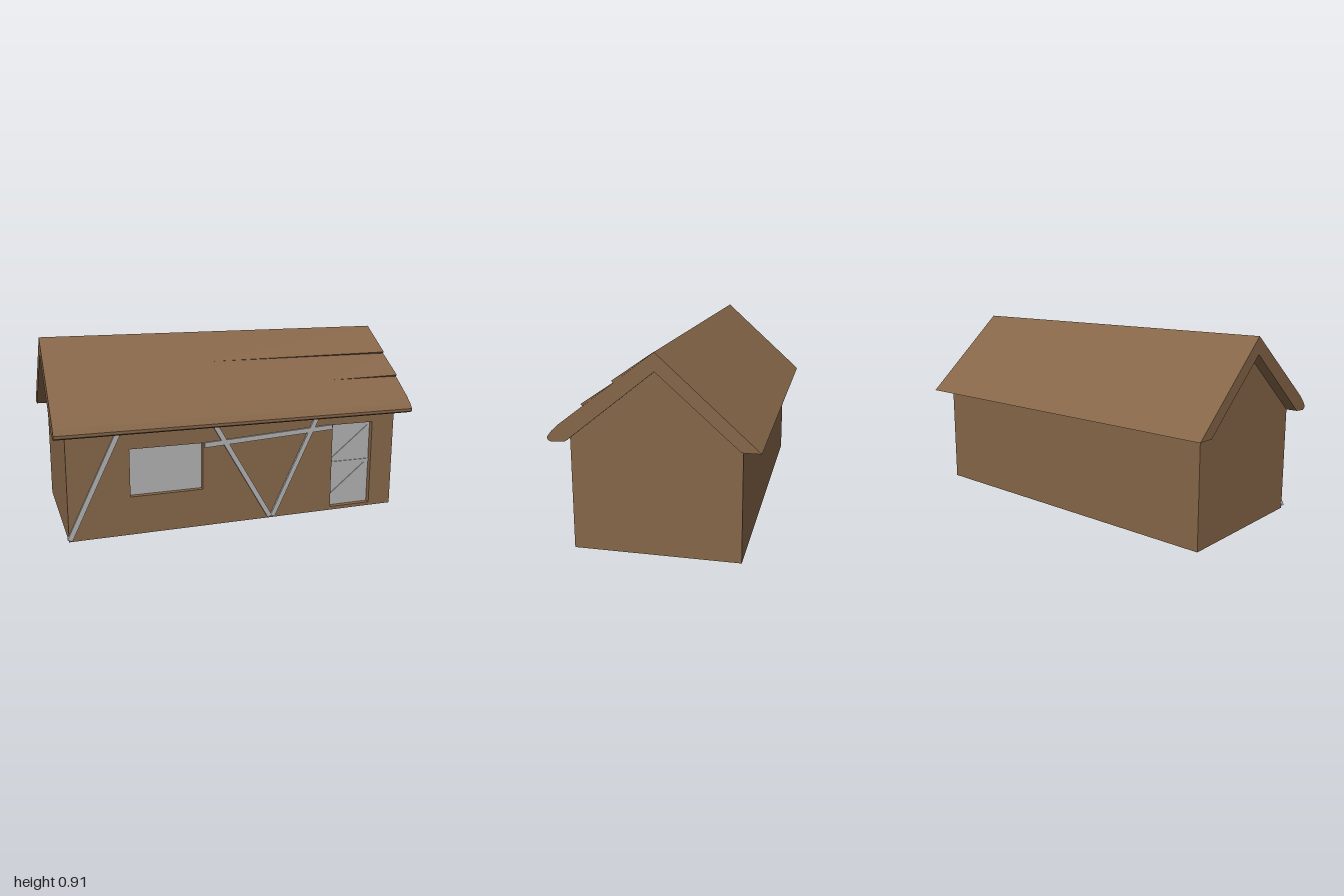
import * as THREE from 'three';

const HL = 0.845, HD = 0.375, WALL_H = 0.51; // wall half length, half depth, height
const RIDGE = -0.018;                        // ridge line offset in z

export function createModel() {
  const brown = new THREE.MeshStandardMaterial({ color: 0x866649, side: THREE.DoubleSide });
  brown.name = 'brown timber';
  const grey = new THREE.MeshStandardMaterial({ color: 0xb0b0b0, side: THREE.DoubleSide });
  grey.name = 'pale grey';

  const house = new THREE.Group();
  house.name = 'house';
  const add = (name, geometry, material) => {
    const mesh = new THREE.Mesh(geometry, material);
    mesh.name = name;
    house.add(mesh);
    return mesh;
  };
  const polygon = pts => new THREE.Shape(pts.map(p => new THREE.Vector2(p[0], p[1])));
  const rect = (x0, y0, x1, y1) => [[x0, y0], [x1, y0], [x1, y1], [x0, y1]];

  // openings in the front wall: x0, y0, x1, y1
  const openings = {
    window: [-0.56, 0.18, -0.19, 0.425],
    door: [0.486, 0.01, 0.727, 0.46],
  };

  // front wall with holes, plain back wall
  const front = polygon(rect(-HL, 0, HL, WALL_H));
  for (const o of Object.values(openings)) front.holes.push(polygon(rect(...o)));
  add('frontWall', new THREE.ShapeGeometry(front), brown).position.z = HD;
  const back = add('backWall', new THREE.PlaneGeometry(2 * HL, WALL_H), brown);
  back.position.set(0, WALL_H / 2, -HD);
  back.rotation.y = Math.PI;

  // gable walls
  for (const side of [1, -1]) {
    const s = polygon([[-HD, 0], [HD, 0], [HD, WALL_H], [-RIDGE * side, 0.826], [-HD, WALL_H]]);
    const gable = add(side > 0 ? 'leftGable' : 'rightGable', new THREE.ShapeGeometry(s), brown);
    gable.rotation.y = side * Math.PI / 2;
    gable.position.x = side * HL;
  }

  // recessed frames with panes set at the back
  const recess = 0.03, rim = 0.007;
  for (const [name, [x0, y0, x1, y1]] of Object.entries(openings)) {
    const ring = polygon(rect(x0, y0, x1, y1));
    ring.holes.push(polygon(rect(x0 + rim, y0 + rim, x1 - rim, y1 - rim)));
    add(name + 'Frame', new THREE.ExtrudeGeometry(ring, { depth: recess, bevelEnabled: false }), brown)
      .position.z = HD - recess;
    const pane = new THREE.BoxGeometry(x1 - x0 - 2 * rim, y1 - y0 - 2 * rim, 0.004);
    add(name + 'Panel', pane, grey).position.set((x0 + x1) / 2, (y0 + y1) / 2, HD - recess + 0.002);
  }

  // straight bar between two points on the facade
  const bar = (name, [xa, ya], [xb, yb], width, depth, z) => {
    const len = Math.hypot(xb - xa, yb - ya);
    const b = add(name, new THREE.BoxGeometry(len, width, depth), grey);
    b.position.set((xa + xb) / 2, (ya + yb) / 2, z);
    b.rotation.z = Math.atan2(yb - ya, xb - xa);
  };

  // facade braces
  bar('cornerBrace', [-0.842, 0.01], [-0.605, 0.5], 0.024, 0.02, HD);
  bar('middleBraceRight', [-0.139, 0.505], [0.152, 0.01], 0.024, 0.02, HD);
  bar('middleBraceLeft', [0.166, 0.01], [0.402, 0.505], 0.024, 0.02, HD);
  bar('crossRail', [-0.19, 0.408], [0.486, 0.445], 0.024, 0.02, HD);

  // door bracing
  const dz = HD - recess + 0.006;
  bar('doorRail', [0.495, 0.242], [0.718, 0.242], 0.02, 0.006, dz);
  bar('doorBraceUpper', [0.505, 0.262], [0.71, 0.425], 0.02, 0.005, dz);
  bar('doorBraceLower', [0.505, 0.07], [0.71, 0.233], 0.02, 0.005, dz);

  // roof: one profile (z, y) run along the length, rounded at the front eave
  const profile = [
    [-0.457, 0.51], [RIDGE, 0.905], [0.40, 0.585], [0.435, 0.553], [0.456, 0.527],
    [0.455, 0.513], [0.44, 0.505], [HD, WALL_H], [RIDGE, 0.825], [-HD, WALL_H],
  ];
  const roof = new THREE.ExtrudeGeometry(polygon(profile.map(([z, y]) => [-z, y])),
    { depth: 1.8, bevelEnabled: false });
  roof.translate(0, 0, -0.9).rotateY(Math.PI / 2);
  add('roof', roof, brown);

  // slightly lifted roof courses, tapering out along the front slope
  const slopeY = z => 0.905 - (z - RIDGE) * 0.765;
  for (const [start, zTop, zLow] of [[-0.087, RIDGE, 0.155], [0.533, 0.155, 0.292]]) {
    const a = [start, slopeY(zLow) + 0.001, zLow];
    const b = [0.9, slopeY(zLow) + 0.008, zLow + 0.008];
    const c = [0.9, slopeY(zTop) + 0.001, zTop];
    const d = [0.9, slopeY(zLow), zLow];
    const g = new THREE.BufferGeometry();
    g.setAttribute('position', new THREE.Float32BufferAttribute([a, b, c, a, d, b, c, b, d].flat(), 3));
    g.computeVertexNormals();
    add('roofCourse', g, brown);
  }

  // the house stands turned on its plot
  house.rotation.y = -0.307;
  const model = new THREE.Group();
  model.name = 'cottage';
  model.add(house);
  return model;
}
